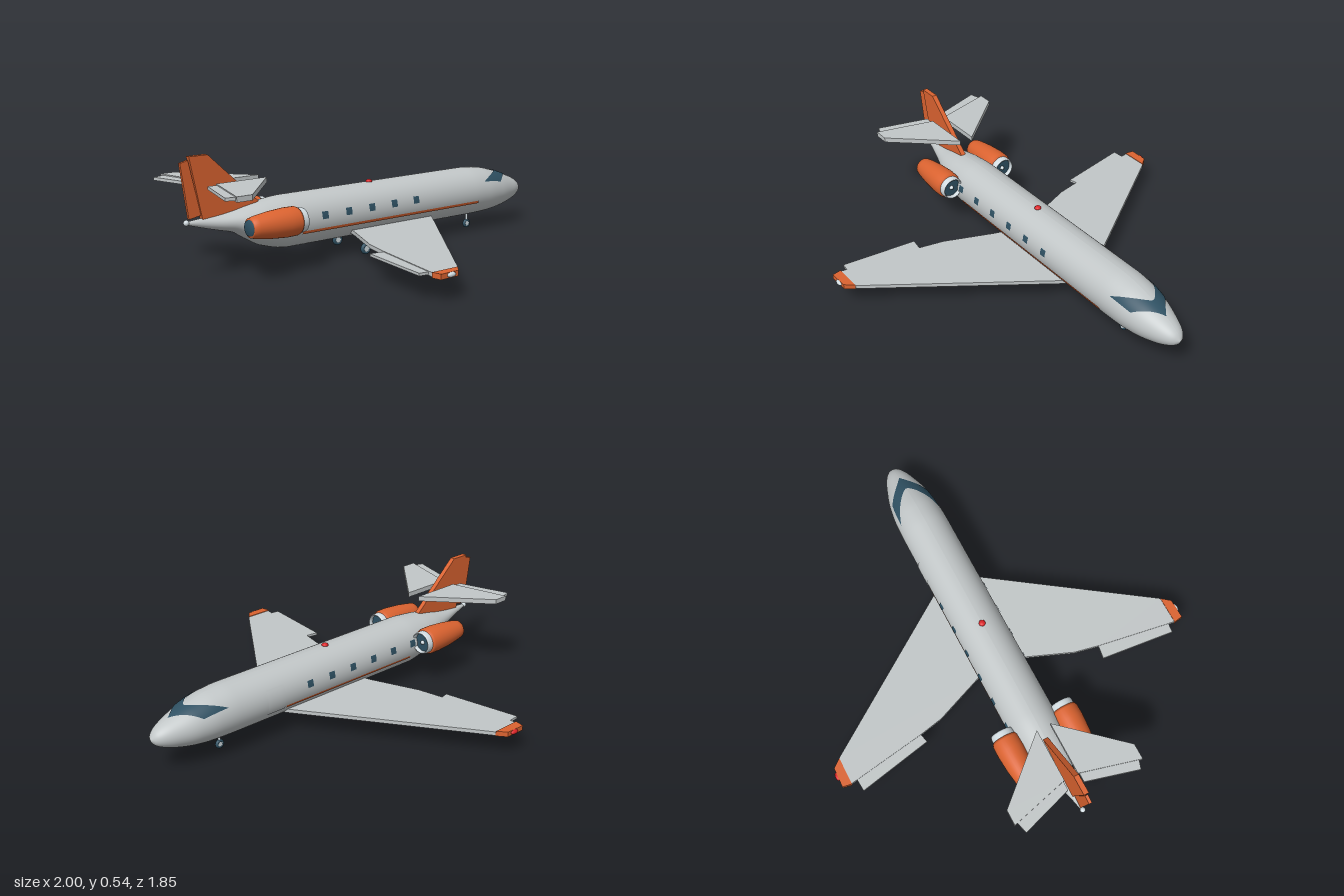
import * as THREE from 'three';

const mat = (name, color) => new THREE.MeshStandardMaterial({ name, color, side: THREE.DoubleSide });

// Fuselage stations: x, top y, bottom y, half width
const ST = [
  [-0.98, 0.258, 0.246, 0.006], [-0.9, 0.264, 0.222, 0.022], [-0.82, 0.27, 0.2, 0.045],
  [-0.755, 0.279, 0.183, 0.066], [-0.695, 0.291, 0.147, 0.088], [-0.605, 0.305, 0.1, 0.11],
  [-0.48, 0.315, 0.075, 0.12], [0.6, 0.315, 0.075, 0.12], [0.7, 0.307, 0.077, 0.117],
  [0.8, 0.283, 0.086, 0.104], [0.9, 0.246, 0.107, 0.075], [0.95, 0.224, 0.125, 0.054],
  [0.985, 0.199, 0.146, 0.029], [1, 0.172, 0.17, 0.001],
];

// Monotone cubic interpolation of one station column
function col(x, k) {
  const n = ST.length;
  const slope = (i) => (ST[i + 1][k] - ST[i][k]) / (ST[i + 1][0] - ST[i][0]);
  const tangent = (i) => {
    if (i === 0) return slope(0);
    if (i === n - 1) return slope(n - 2);
    const a = slope(i - 1), b = slope(i);
    return a * b > 0 ? (2 * a * b) / (a + b) : 0;
  };
  let i = 0;
  while (i < n - 2 && x > ST[i + 1][0]) i++;
  const h = ST[i + 1][0] - ST[i][0], t = (x - ST[i][0]) / h, t2 = t * t, t3 = t2 * t;
  return (2 * t3 - 3 * t2 + 1) * ST[i][k] + (t3 - 2 * t2 + t) * h * tangent(i)
    + (3 * t2 - 2 * t3) * ST[i + 1][k] + (t3 - t2) * h * tangent(i + 1);
}

// Patch of the fuselage skin; angle a runs from the crown (0) toward +z
function skin(a0, a1, back, front, off, nx, na) {
  const pos = [], idx = [];
  for (let j = 0; j <= na; j++) {
    const a = a0 + (a1 - a0) * j / na, b = back(a), f = front(a);
    for (let i = 0; i <= nx; i++) {
      const x = b + (f - b) * i / nx, top = col(x, 1), bot = col(x, 2);
      pos.push(x, (top + bot) / 2 + ((top - bot) / 2 + off) * Math.cos(a), (col(x, 3) + off) * Math.sin(a));
      if (i < nx && j < na) {
        const p = j * (nx + 1) + i, q = p + nx + 1;
        idx.push(p, q, p + 1, q, q + 1, p + 1);
      }
    }
  }
  const g = new THREE.BufferGeometry();
  g.setAttribute('position', new THREE.Float32BufferAttribute(pos, 3));
  g.setIndex(idx);
  g.computeVertexNormals();
  return g;
}

// Flat plate from an outline, centred through its thickness
function plate(pts, thick) {
  const shape = new THREE.Shape(pts.map(([x, y]) => new THREE.Vector2(x, y)));
  return new THREE.ExtrudeGeometry(shape, { depth: thick, bevelEnabled: false }).translate(0, 0, -thick / 2);
}
const flat = (pts, thick, y, s) =>
  plate(pts.map(([x, z]) => [x, z * s]), thick).rotateX(Math.PI / 2).translate(0, y, 0);

// Lathe around the x axis from [x, radius] pairs
const turned = (pts, y, z) => new THREE.LatheGeometry(pts.map(([x, r]) => new THREE.Vector2(r, x)), 32)
  .rotateZ(-Math.PI / 2).translate(0, y, z);

export function createModel() {
  const grey = mat('paintGrey', 0xc2c7c8), orange = mat('orange', 0xdb6330), dark = mat('darkBlue', 0x2f5163);
  const red = mat('beaconRed', 0xdd2428), light = mat('lightMetal', 0xd3dde2);
  const root = new THREE.Group();
  root.name = 'jet';
  const add = (name, geo, m) => {
    const mesh = new THREE.Mesh(geo, m);
    mesh.name = name;
    root.add(mesh);
    return mesh;
  };
  const k = (v) => () => v;

  // Body, cockpit glass, door
  add('fuselage', skin(0, Math.PI * 2, k(-0.98), k(1), 0, 160, 48), grey);
  const glassEnd = 1.07;
  const glassBack = (a) => {
    const t = Math.abs(a) / glassEnd;
    return t < 0.73 ? 0.82 - 0.1 * (t / 0.73) ** 1.5 : 0.72 - 0.06 * (t - 0.73) / 0.27;
  };
  add('windshield', skin(-glassEnd, glassEnd, glassBack, (a) => 0.905 - 0.12 * Math.abs(a) / glassEnd, 0.003, 12, 32), dark);
  add('door', skin(-2.0, -1.0, k(0.35), k(0.45), 0.003, 4, 12), grey);
  add('tailLight', new THREE.SphereGeometry(0.013, 16, 12).translate(-0.975, 0.253, 0), light);
  const beacon = add('beacon', new THREE.SphereGeometry(0.016, 16, 12), red);
  beacon.position.set(0.005, 0.316, 0);
  beacon.scale.y = 0.65;

  // Fin and rudder
  add('fin', plate([[-0.62, 0.305], [-0.87, 0.537], [-0.96, 0.537], [-0.9, 0.25], [-0.75, 0.26]], 0.024), orange);
  add('rudder', plate([[-0.962, 0.522], [-1, 0.512], [-0.965, 0.268], [-0.907, 0.278]], 0.014), orange);

  for (const s of [1, -1]) {
    const side = s > 0 ? 'right' : 'left';
    // Cabin windows and side stripe
    for (let i = 0; i < 6; i++) {
      const x = -0.47 + i * 0.134;
      add(side + 'Window' + i, s > 0 ? skin(1.22, 1.5, k(x - 0.017), k(x + 0.017), 0.003, 2, 4)
        : skin(-1.5, -1.22, k(x - 0.017), k(x + 0.017), 0.003, 2, 4), dark);
    }
    add(side + 'Stripe', s > 0 ? skin(1.83, 1.94, k(-0.46), k(0.61), 0.005, 30, 2)
      : skin(-2.0, -1.9, k(-0.46), k(0.34), 0.003, 24, 2), orange);

    // Wing, aileron, wing tip and its lamp
    add(side + 'Wing', flat([[0.36, 0.03], [0.315, 0.1], [-0.22, 0.87], [-0.357, 0.87], [-0.295, 0.48],
      [-0.27, 0.36], [-0.175, 0.12], [-0.15, 0.03]], 0.018, 0.112, s), grey);
    const hang = s > 0 ? [-0.397, -0.36] : [-0.412, -0.338];
    add(side + 'Aileron', flat([[-0.295, 0.48], [-0.352, 0.84], [hang[0], 0.835], [hang[1], 0.47]], 0.012, 0.112, s), grey);
    add(side + 'WingTip', flat([[-0.222, 0.87], [-0.255, 0.912], [-0.352, 0.915], [-0.36, 0.87]], 0.024, 0.112, s), orange);
    const lamp = add(side + 'WingLamp', new THREE.SphereGeometry(0.011, 16, 10), s > 0 ? light : red);
    lamp.position.set(-0.295, 0.113, 0.914 * s);
    lamp.scale.x = 2;

    // Tailplane and elevator
    add(side + 'Tailplane', flat([[-0.59, 0.034], [-0.845, 0.32], [-0.92, 0.32], [-0.845, 0.034]], 0.024, 0.4, s), grey);
    add(side + 'Elevator', flat([[-0.847, 0.04], [-0.914, 0.305], [s > 0 ? -0.957 : -0.97, 0.29], [-0.89, 0.04]], 0.014, 0.4, s), grey);

    // Engine
    const y = 0.228, z = 0.155 * s;
    add(side + 'Nacelle', turned([[-0.758, 0.036], [-0.757, 0.044], [-0.73, 0.05], [-0.66, 0.06], [-0.58, 0.066],
      [-0.53, 0.065], [-0.518, 0.06], [-0.516, 0.045]], y, z), orange);
    add(side + 'Inlet', turned([[-0.525, 0.056], [-0.495, 0.056], [-0.486, 0.053], [-0.486, 0.049],
      [-0.495, 0.046], [-0.515, 0.046]], y, z), light);
    add(side + 'Fan', turned([[-0.505, 0.047], [-0.504, 0.0001]], y, z), dark);
    add(side + 'Spinner', turned([[-0.505, 0.011], [-0.495, 0.008], [-0.488, 0.0001]], y, z), light);
    add(side + 'Exhaust', turned([[-0.765, 0.0001], [-0.765, 0.034], [-0.75, 0.038]], y, z), dark);
  }

  // Landing gear
  const gear = (name, x, z, r, topY) => {
    const g = new THREE.Group();
    g.name = name;
    const part = (n, geo, m) => {
      const mesh = new THREE.Mesh(geo, m);
      mesh.name = n;
      g.add(mesh);
    };
    part('tyre', new THREE.TorusGeometry(r * 0.7, r * 0.3, 12, 28).scale(1, 1, 1.35).translate(0, r, 0), dark);
    part('hub', new THREE.CylinderGeometry(r * 0.6, r * 0.6, r * 0.66, 24).rotateX(Math.PI / 2).translate(0, r, 0), light);
    const len = topY - r * 1.5;
    part('strut', new THREE.CylinderGeometry(0.006, 0.006, len, 12).translate(0, topY - len / 2, 0), light);
    g.position.set(x, 0.003, z);
    root.add(g);
  };
  gear('rightMainGear', -0.1, 0.11, 0.027, 0.105);
  gear('leftMainGear', -0.1, -0.11, 0.027, 0.105);
  gear('noseGear', 0.64, 0, 0.022, 0.085);
  root.children.forEach((c) => { if (c.isGroup) c.position.y = 0; });
  return root;
}
